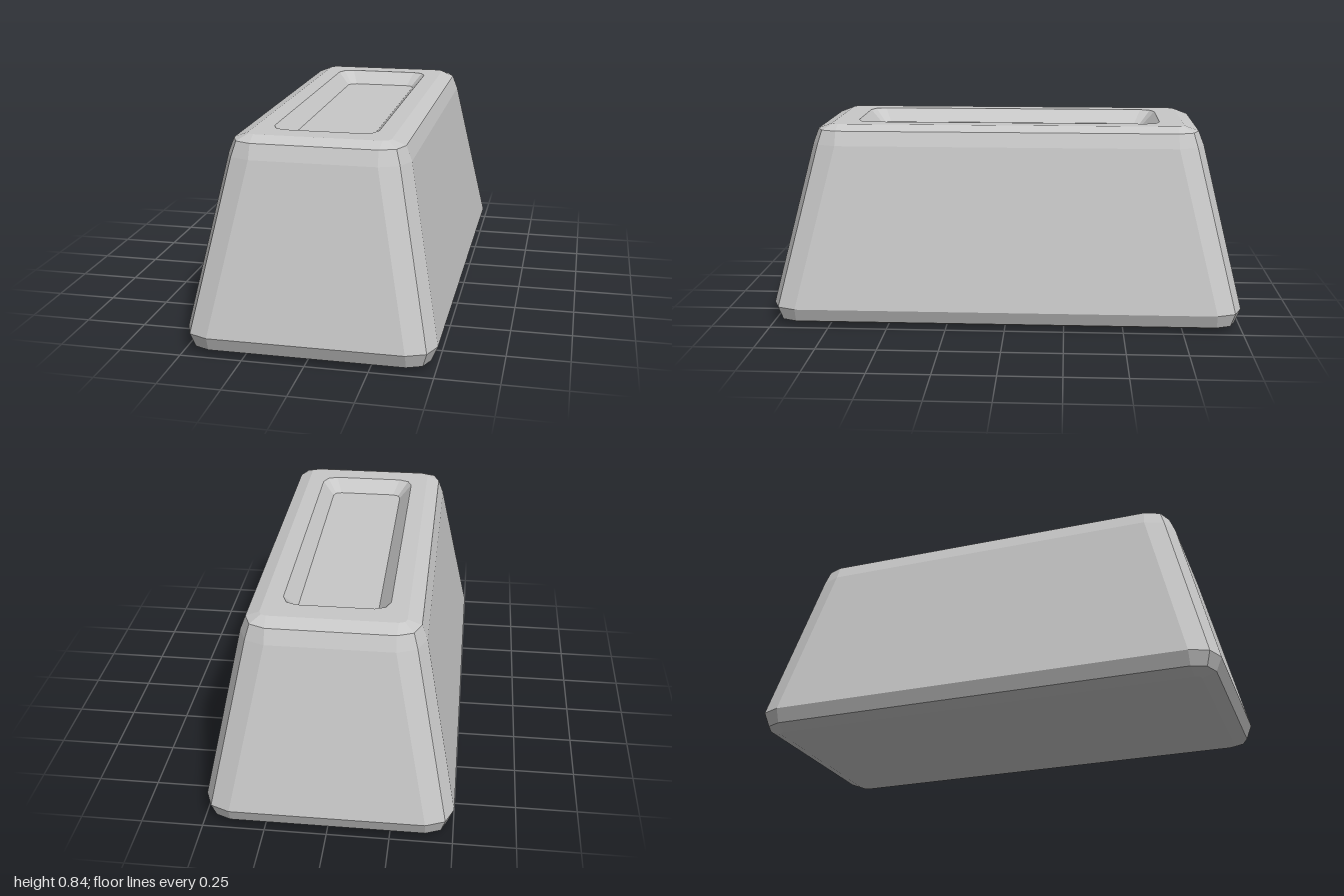
import * as THREE from 'three';

// Rounded rectangle of 12 points, counter-clockwise seen from above
function ring([y, hw, hd, r]) {
  const points = [];
  const corners = [[1, -1], [-1, -1], [-1, 1], [1, 1]];
  corners.forEach(([sx, sz], c) => {
    for (let k = 0; k < 3; k++) {
      const a = (c + k / 2) * Math.PI / 2;
      points.push([sx * (hw - r) + r * Math.cos(a), y, sz * (hd - r) - r * Math.sin(a)]);
    }
  });
  return points;
}

// Joins consecutive rings with faces; optionally closes the first or last ring
function loft(sections, capFirst, capLast) {
  const rings = sections.map(ring);
  const pos = [];
  const tri = (a, b, c) => pos.push(...a, ...b, ...c);
  for (let s = 0; s < rings.length - 1; s++) {
    const lo = rings[s], hi = rings[s + 1];
    lo.forEach((a, i) => {
      const j = (i + 1) % lo.length;
      tri(a, lo[j], hi[j]);
      tri(a, hi[j], hi[i]);
    });
  }
  const first = rings[0], last = rings[rings.length - 1];
  first.forEach((a, i) => {
    const j = (i + 1) % first.length;
    if (capFirst) tri(first[j], a, [0, a[1], 0]);
    if (capLast) tri(last[i], last[j], [0, last[i][1], 0]);
  });
  const geometry = new THREE.BufferGeometry();
  geometry.setAttribute('position', new THREE.Float32BufferAttribute(pos, 3));
  geometry.computeVertexNormals();
  return geometry;
}

export function createModel() {
  const group = new THREE.Group();
  group.name = 'ingot';
  const metal = new THREE.MeshStandardMaterial({ color: 0xc8c8c8 });
  metal.name = 'grey metal';

  const add = (name, geometry) => {
    const mesh = new THREE.Mesh(geometry, metal);
    mesh.name = name;
    group.add(mesh);
  };

  // Each section: height, half width, half depth, corner radius
  const opening = [0.842, 0.213, 0.653, 0.06];

  // Tapered block with bevelled edges, up to the rim of the recess
  add('body', loft([
    [0, 0.42, 0.92, 0.025],
    [0.022, 0.476, 0.976, 0.085],
    [0.08, 0.5, 1.0, 0.11],
    [0.76, 0.364, 0.835, 0.112],
    [0.82, 0.341, 0.811, 0.09],
    [0.842, 0.285, 0.752, 0.03],
    opening,
  ], true, false));

  // Sloped tray sunk into the top
  add('recess', loft([opening, [0.785, 0.161, 0.598, 0.035]], false, true));

  return group;
}
